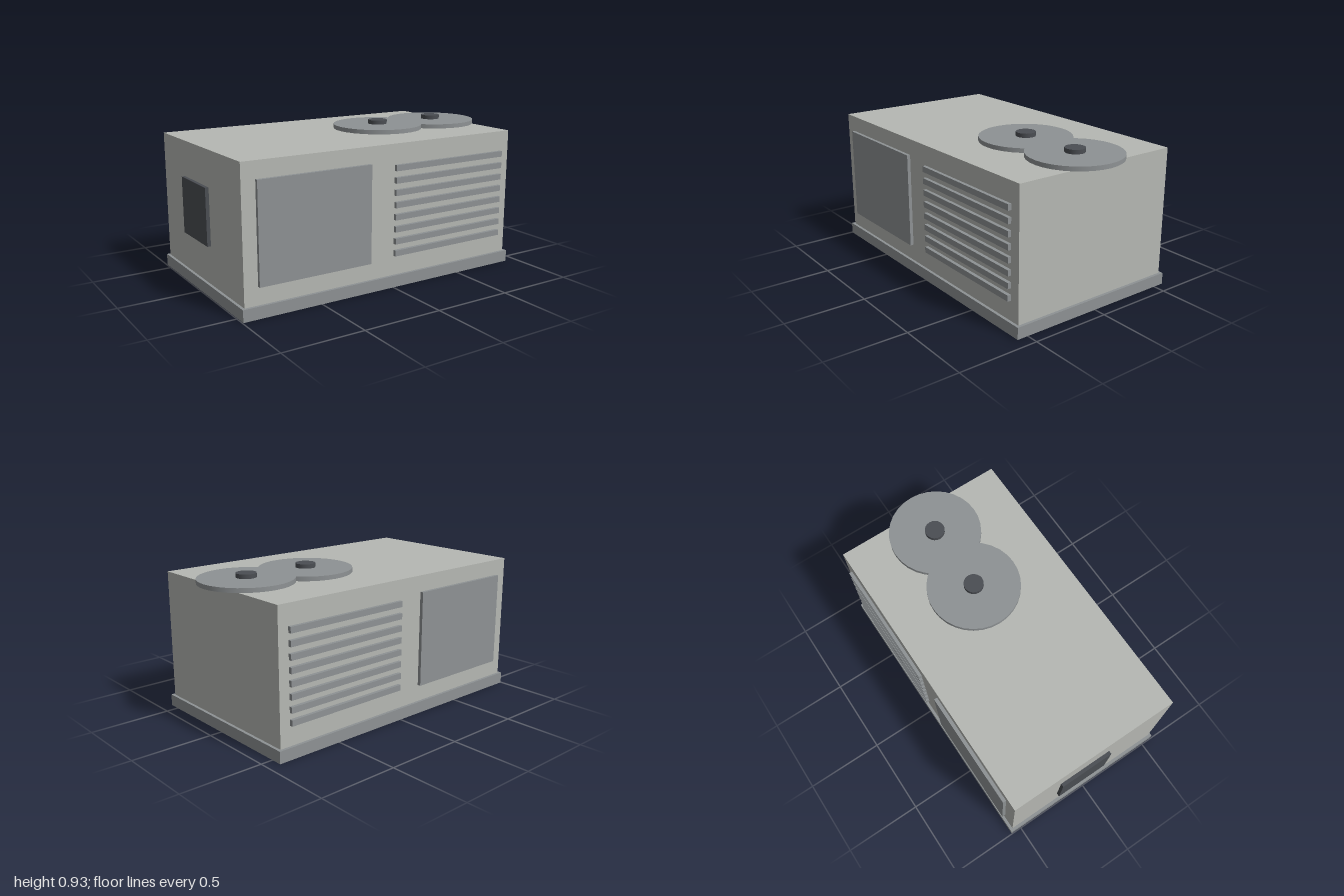
import * as THREE from 'three';

export function createModel() {
  const model = new THREE.Group();
  model.name = 'rooftopUnit';
  const material = (name, color) => {
    const m = new THREE.MeshStandardMaterial({ color });
    m.name = name;
    return m;
  };
  const casing = material('light grey casing', 0xb6b8b3);
  const grey = material('mid grey trim', 0x8e9294);
  const dark = material('dark grey', 0x4b4e53);

  // Box given by its lowest and highest corners
  const box = (name, mat, [x0, y0, z0], [x1, y1, z1]) => {
    const mesh = new THREE.Mesh(new THREE.BoxGeometry(x1 - x0, y1 - y0, z1 - z0), mat);
    mesh.position.set((x0 + x1) / 2, (y0 + y1) / 2, (z0 + z1) / 2);
    mesh.name = name;
    model.add(mesh);
  };
  const disc = (name, mat, radius, x, y0, y1, sides) => {
    const geometry = new THREE.CylinderGeometry(radius, radius, y1 - y0, sides);
    const mesh = new THREE.Mesh(geometry, mat);
    mesh.position.set(x, (y0 + y1) / 2, 0);
    mesh.name = name;
    model.add(mesh);
  };

  // Plinth and casing
  box('base', grey, [-0.995, 0, -0.57], [0.925, 0.073, 0.57]);
  box('body', casing, [-0.978, 0.073, -0.552], [0.907, 0.875, 0.552]);

  // Access panel and louvre slats, on front and back
  for (const side of [1, -1]) {
    const z = side > 0 ? [0.54, 0.573] : [-0.573, -0.54];
    const label = side > 0 ? 'front' : 'back';
    box(label + 'Panel', grey, [-0.893, 0.18, z[0]], [-0.165, 0.774, z[1]]);
    for (let i = 0; i < 8; i++) {
      const y = 0.212 + i * 0.0743;
      box(label + 'Slat', grey, [0.01, y - 0.018, z[0]], [0.84, y + 0.018, z[1]]);
    }
  }

  // Control box on the right end
  box('controlBox', dark, [-1, 0.31, -0.22], [-0.97, 0.657, 0.13]);

  // Two overlapping fan covers with hubs
  for (const x of [0.273, 0.711]) {
    disc('fanCover', grey, 0.287, x, 0.875, 0.902, 32);
    disc('fanHub', dark, 0.061, x, 0.9, 0.928, 20);
  }
  return model;
}
